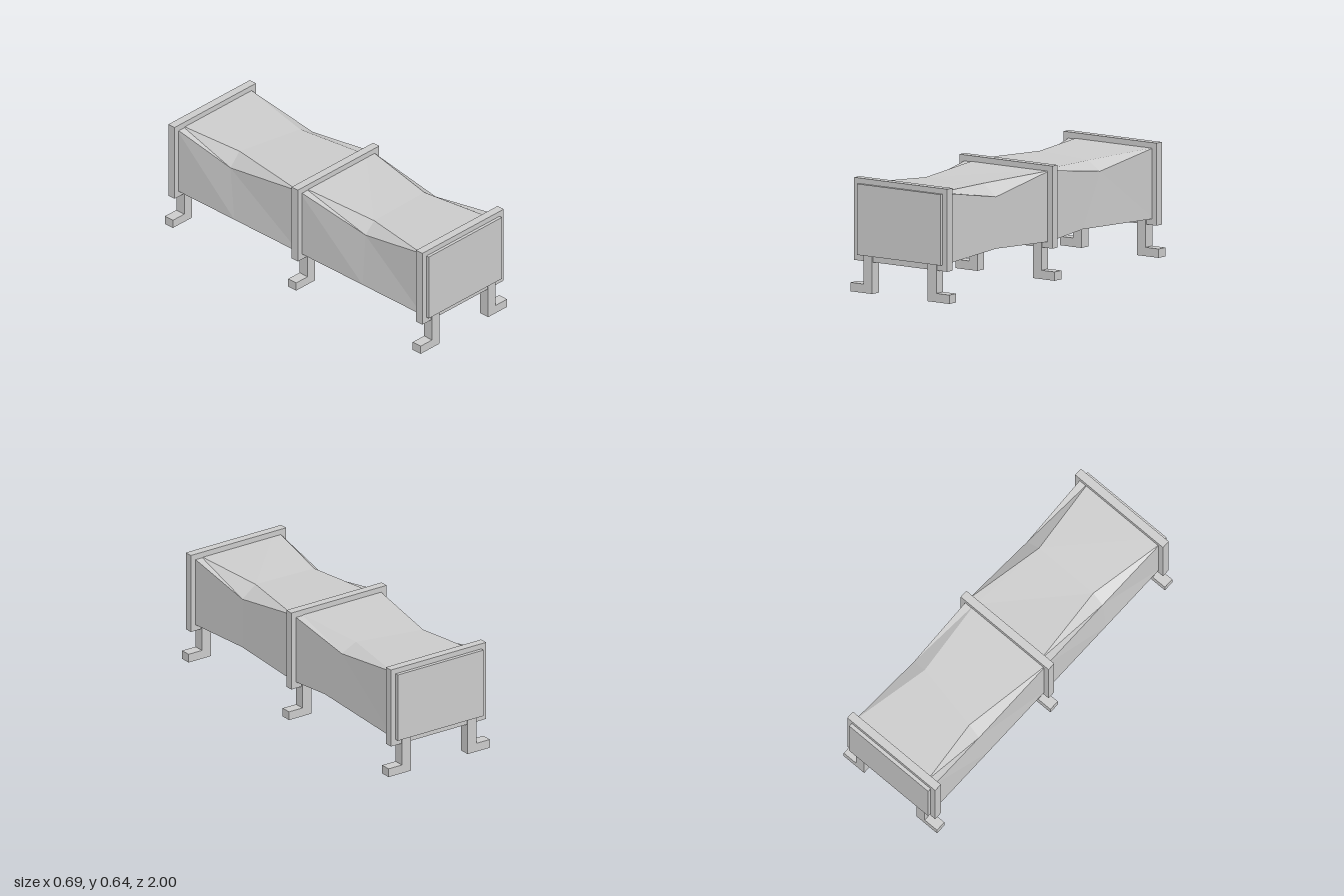
import * as THREE from 'three';

const material = new THREE.MeshStandardMaterial({ color: 0xcccccc, flatShading: true, side: THREE.DoubleSide });

function addMesh(parent, name, geometry, x = 0, y = 0, z = 0) {
  const mesh = new THREE.Mesh(geometry, material);
  mesh.name = name;
  mesh.position.set(x, y, z);
  parent.add(mesh);
  return mesh;
}

// Skins a row of cross-sections (counter-clockwise seen from +z, ordered back to front) and caps both ends
function loft(sections) {
  const pos = [];
  const tri = (a, b, c) => pos.push(...a, ...b, ...c);
  const n = sections[0].length;
  for (let i = 0; i < sections.length - 1; i++) {
    for (let j = 0; j < n; j++) {
      const k = (j + 1) % n;
      const a = sections[i][j], b = sections[i][k], c = sections[i + 1][k], d = sections[i + 1][j];
      tri(a, b, c);
      tri(a, c, d);
    }
  }
  const back = sections[0], front = sections[sections.length - 1];
  for (let j = 1; j < n - 1; j++) {
    tri(back[0], back[j + 1], back[j]);
    tri(front[0], front[j], front[j + 1]);
  }
  const geometry = new THREE.BufferGeometry();
  geometry.setAttribute('position', new THREE.Float32BufferAttribute(pos, 3));
  geometry.computeVertexNormals();
  return geometry;
}

// Full rectangular section of the body at depth z
const fullSection = (z) => [
  [-0.292, 0.212, z], [0.292, 0.212, z], [0.292, 0.612, z],
  [0.245, 0.612, z], [-0.245, 0.612, z], [-0.292, 0.612, z],
];

// L-shaped leg with its foot pointing outwards (towards +x)
function legGeometry() {
  const shape = new THREE.Shape([
    [0.194, 0], [0.345, 0], [0.345, 0.05], [0.254, 0.05], [0.254, 0.22], [0.194, 0.22],
  ].map(([x, y]) => new THREE.Vector2(x, y)));
  const geometry = new THREE.ExtrudeGeometry(shape, { depth: 0.062, bevelEnabled: false });
  geometry.translate(0, 0, -0.031);
  return geometry;
}

export function createModel() {
  const model = new THREE.Group();
  model.name = 'baggedDuct';

  // Sagging body: each bay slumps at its shoulders between the frames
  const backSag = [
    [-0.292, 0.212, -0.5], [0.29, 0.24, -0.3], [0.29, 0.545, -0.46],
    [0.2, 0.597, -0.47], [-0.2, 0.597, -0.55], [-0.272, 0.52, -0.55],
  ];
  const frontSag = [
    [-0.292, 0.212, 0.49], [0.29, 0.238, 0.49], [0.29, 0.53, 0.49],
    [0.2, 0.597, 0.49], [-0.2, 0.59, 0.49], [-0.27, 0.527, 0.49],
  ];
  addMesh(model, 'body', loft([
    fullSection(-1), fullSection(-0.95), backSag, fullSection(0),
    frontSag, fullSection(0.95), fullSection(1),
  ]));

  // Three stations, each a frame with a mirrored pair of legs
  const leg = legGeometry();
  const frame = new THREE.BoxGeometry(0.65, 0.465, 0.048);
  for (const [name, z] of [['front', 0.958], ['middle', -0.003], ['back', -0.955]]) {
    const station = new THREE.Group();
    station.name = name + 'Support';
    station.position.z = z;
    addMesh(station, name + 'Frame', frame, 0, 0.4105, 0);
    addMesh(station, name + 'LeftLeg', leg);
    addMesh(station, name + 'RightLeg', leg).rotation.y = Math.PI;
    model.add(station);
  }
  return model;
}
